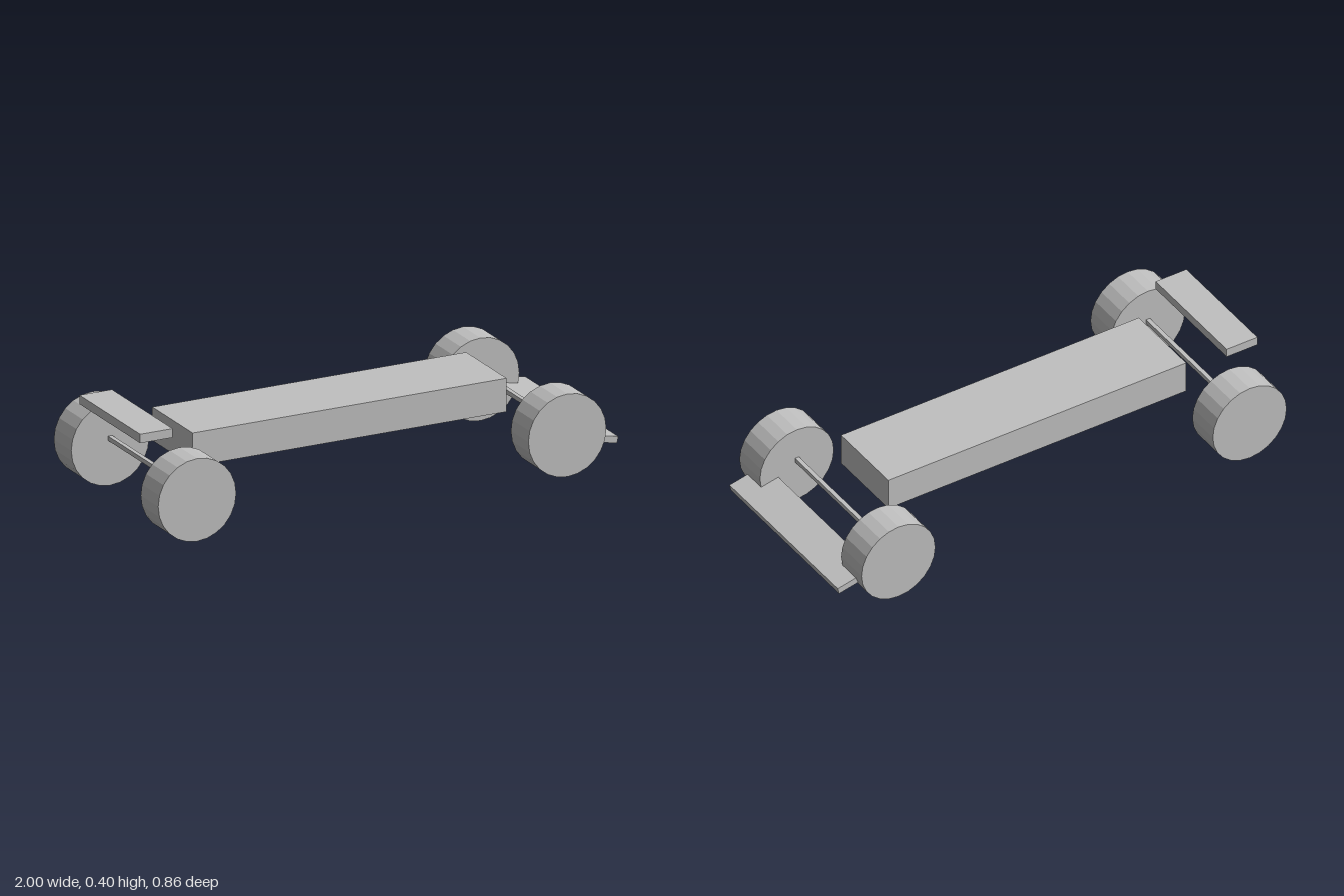
import * as THREE from 'three';

export function createModel() {
  const model = new THREE.Group();
  model.name = 'racingCar';

  const grey = new THREE.MeshStandardMaterial({ color: 0xc0c0c0, flatShading: true });
  grey.name = 'plain grey';

  function add(name, geometry, x, y, z) {
    const mesh = new THREE.Mesh(geometry, grey);
    mesh.name = name;
    mesh.position.set(x, y, z);
    model.add(mesh);
    return mesh;
  }
  const box = (name, w, h, d, x, y) => add(name, new THREE.BoxGeometry(w, h, d), x, y, 0);

  // Long body between the axles
  box('body', 1.346, 0.135, 0.333, -0.042, 0.267);

  // Raised wing at the tail, sloping wing at the nose
  box('rearWing', 0.139, 0.036, 0.5, -0.914, 0.382);
  const noseWing = box('noseWing', 0.163, 0.027, 0.763, 0.915, 0.111);
  noseWing.rotation.z = -0.208;

  // Axles with a wheel at each end
  const wheelRadius = 0.167;
  const wheel = new THREE.CylinderGeometry(wheelRadius, wheelRadius, 0.144, 24).rotateX(Math.PI / 2);
  for (const [end, x] of [['rear', -0.833], ['front', 0.754]]) {
    box(end + 'Axle', 0.018, 0.018, 0.58, x, 0.191);
    for (const [side, s] of [['Left', 1], ['Right', -1]]) {
      add(end + side + 'Wheel', wheel, x, wheelRadius, s * 0.358);
    }
  }
  return model;
}
